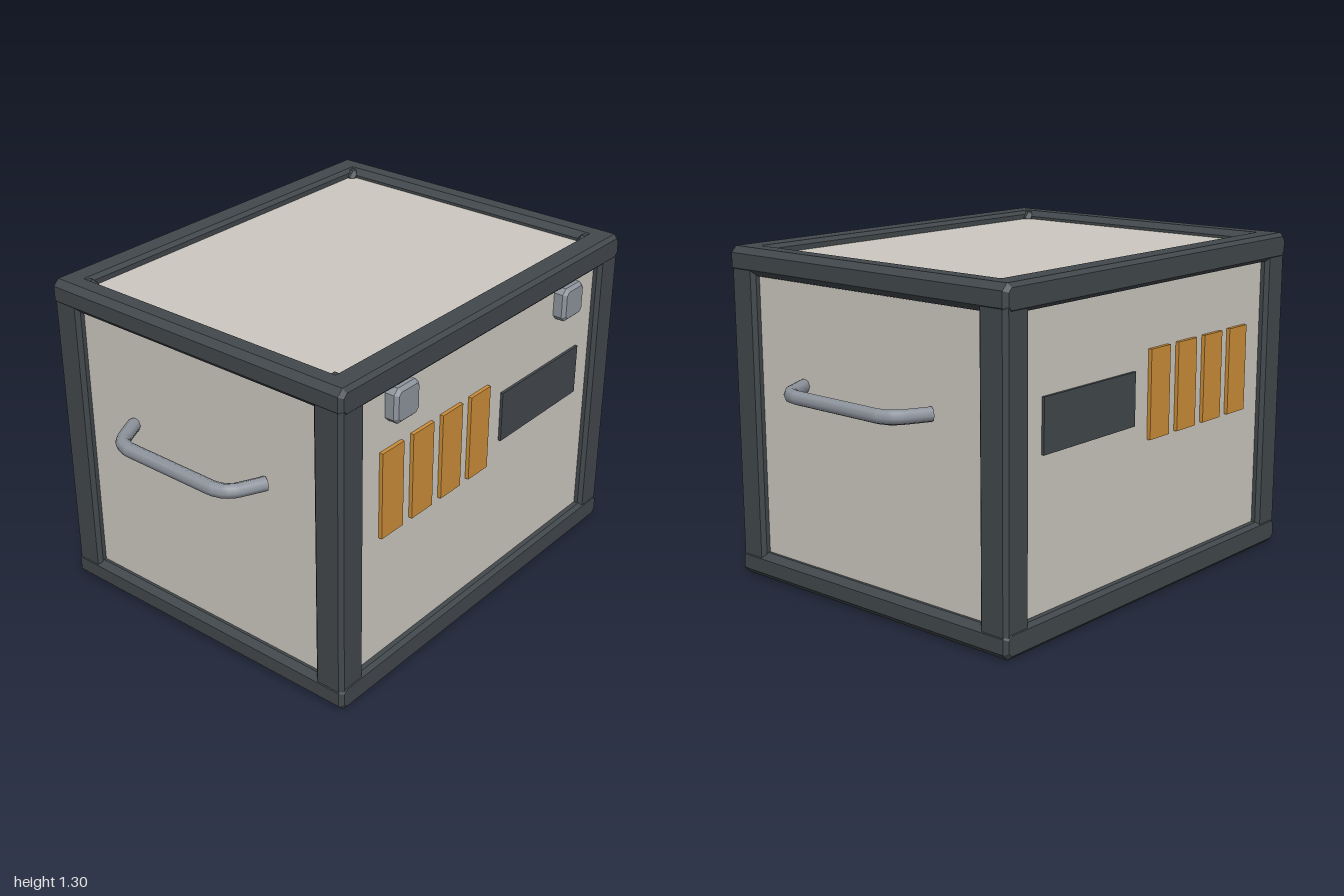
import * as THREE from 'three';

const material = (name, color) => {
  const m = new THREE.MeshStandardMaterial({ color });
  m.name = name;
  return m;
};

export function createModel() {
  const root = new THREE.Group();
  root.name = 'crate';
  const frameMat = material('charcoal', 0x42484c);
  const panelMat = material('warmGrey', 0xcdc9c1);
  const amberMat = material('amber', 0xcd8e39);
  const steelMat = material('steel', 0x8f959e);

  const add = (parent, name, geometry, mat, x, y, z) => {
    const mesh = new THREE.Mesh(geometry, mat);
    mesh.name = name;
    mesh.position.set(x, y, z);
    parent.add(mesh);
    return mesh;
  };

  // Box with every edge chamfered by c
  const chamferBox = (w, h, d, c) => {
    const a = w / 2 - c, b = h / 2 - c, k = c;
    const s = new THREE.Shape([
      [a, -b + k], [a, b - k], [a - k, b], [-a + k, b],
      [-a, b - k], [-a, -b + k], [-a + k, -b], [a - k, -b],
    ].map(([x, y]) => new THREE.Vector2(x, y)));
    const g = new THREE.ExtrudeGeometry(s, {
      depth: d - 2 * c, bevelEnabled: true, bevelThickness: c, bevelSize: c, bevelSegments: 1,
    });
    return g.translate(0, 0, -d / 2 + c);
  };

  // Overall frame size
  const W = 1.72, H = 1.3, D = 1.385, zc = -0.0075;
  const post = 0.13, rail = 0.105, c = 0.015, recess = 0.035;

  // Panelled body, set back inside the frame
  add(root, 'body', new THREE.BoxGeometry(W - 2 * recess, H - 2 * recess, D - 2 * recess),
    panelMat, 0, H / 2, zc);

  // Frame: four posts, and rails along x and z at top and bottom
  const frame = new THREE.Group();
  frame.name = 'frame';
  root.add(frame);
  const inset = 0.003;
  for (const s of [-1, 1]) {
    for (const t of [-1, 1]) {
      add(frame, 'cornerPost', chamferBox(post - inset, H - 0.01, post - inset, c), frameMat,
        s * (W - post - inset) / 2, H / 2, zc + t * (D - post - inset) / 2);
      add(frame, 'longRail', chamferBox(W, rail, rail, c), frameMat,
        0, H / 2 + s * (H - rail) / 2, zc + t * (D - rail) / 2);
      add(frame, 'sideRail', chamferBox(rail, rail, D, c), frameMat,
        s * (W - rail) / 2, H / 2 + t * (H - rail) / 2, zc);
    }
  }

  // Amber vents and dark plate on front and back
  for (const side of [-1, 1]) {
    const z = zc + side * (D / 2 - recess + 0.004);
    for (let i = 0; i < 4; i++) {
      add(root, 'amberVent', new THREE.BoxGeometry(0.12, 0.345, 0.022), amberMat,
        -0.555 + i * 0.173, 0.7825, z);
    }
    add(root, 'darkPlate', new THREE.BoxGeometry(0.52, 0.205, 0.014), frameMat, 0.375, 0.7825, z);
  }

  // Front latches
  for (const x of [-0.52, 0.518]) {
    add(root, 'latch', chamferBox(0.136, 0.136, 0.07, 0.013), steelMat, x, 1.128, 0.665);
  }

  // Bent side handles
  const pts = [
    [0.83, -0.328], [0.86, -0.314], [0.93, -0.28], [0.958, -0.253], [0.971, -0.21],
    [0.971, 0.21], [0.958, 0.253], [0.93, 0.28], [0.86, 0.314], [0.83, 0.328],
  ].map(([x, z]) => new THREE.Vector3(x, 0, z));
  const path = new THREE.CurvePath();
  for (let i = 0; i < pts.length - 1; i++) path.add(new THREE.LineCurve3(pts[i], pts[i + 1]));
  const handleGeo = new THREE.TubeGeometry(path, 64, 0.0275, 8, false);
  for (const s of [-1, 1]) {
    const handle = add(root, s > 0 ? 'leftHandle' : 'rightHandle', handleGeo, steelMat, 0, 0.807, zc);
    if (s < 0) handle.rotation.y = Math.PI;
  }
  return root;
}
